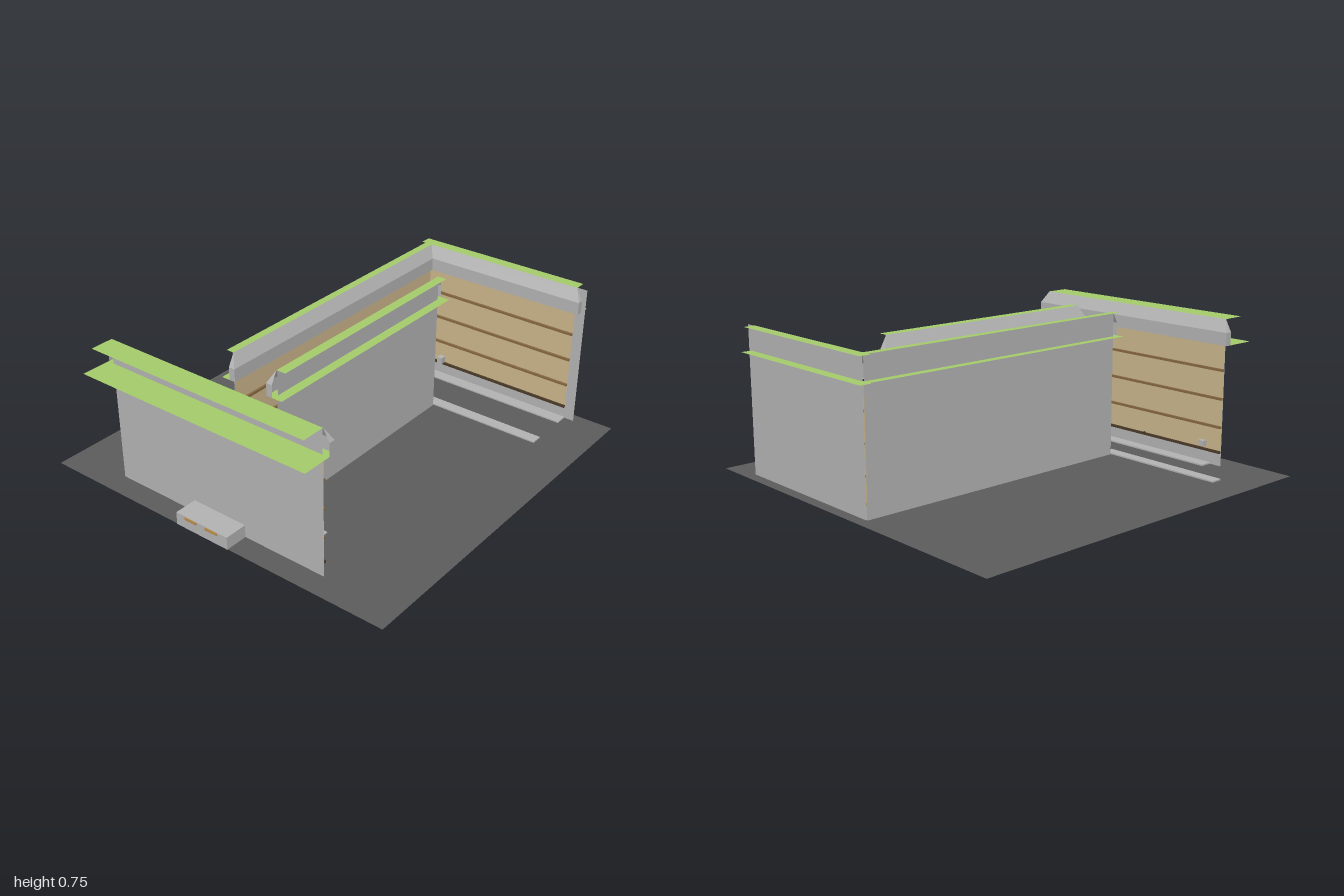
import * as THREE from 'three';

const mat = (name, color, side = THREE.FrontSide) => {
  const m = new THREE.MeshStandardMaterial({ color, side });
  m.name = name;
  return m;
};

export function createModel() {
  const D = THREE.DoubleSide;
  const grey = mat('wall grey', 0xb2b2b2, D);
  const tan = mat('facade tan', 0xcab58b, D);
  const green = mat('ledge green', 0xa3ca6a, D);
  const asphalt = mat('asphalt', 0x5b5b5b, D);
  const brown = mat('trim brown', 0x866840);
  const darkBrown = mat('dark trim', 0x4a3a28);
  const orange = mat('window amber', 0xb98d4c);
  const black = mat('post black', 0x2e2c2a);

  const root = new THREE.Group();
  root.name = 'streetBlock';

  const add = (parent, name, geo, m, x = 0, y = 0, z = 0) => {
    const mesh = new THREE.Mesh(geo, m);
    mesh.name = name;
    mesh.position.set(x, y, z);
    parent.add(mesh);
    return mesh;
  };
  // Box given by its limits on each axis
  const box = (parent, name, m, x0, x1, y0, y1, z0, z1) =>
    add(parent, name, new THREE.BoxGeometry(x1 - x0, y1 - y0, z1 - z0), m,
      (x0 + x1) / 2, (y0 + y1) / 2, (z0 + z1) / 2);
  // Upright sheet facing +z
  const sheet = (parent, name, m, x0, x1, y0, y1, z) =>
    add(parent, name, new THREE.PlaneGeometry(x1 - x0, y1 - y0), m, (x0 + x1) / 2, (y0 + y1) / 2, z);
  // Level sheet facing up
  const level = (parent, name, m, x0, x1, y, z0, z1) => {
    const geo = new THREE.PlaneGeometry(x1 - x0, z1 - z0).rotateX(-Math.PI / 2);
    return add(parent, name, geo, m, (x0 + x1) / 2, y, (z0 + z1) / 2);
  };

  const TOP = 0.745, EAVE = 0.62, BEND = 0.685, OUT = 0.033;

  // Sloped cornice; the lower edge runs past (or short of) each end to form mitres
  function corniceGeometry(x0, x1, e0, e1) {
    const p = [];
    const quad = (a, b, c, d) => p.push(...a, ...b, ...c, ...a, ...c, ...d);
    const l = x0 - e0, r = x1 + e1;
    quad([l, EAVE, OUT], [r, EAVE, OUT], [r, BEND, OUT], [l, BEND, OUT]);
    quad([l, BEND, OUT], [r, BEND, OUT], [x1, TOP, 0], [x0, TOP, 0]);
    if (e0 > 0) {
      quad([l, EAVE, 0], [l, EAVE, OUT], [l, BEND, OUT], [l, BEND, 0]);
      p.push(l, BEND, 0, l, BEND, OUT, x0, TOP, 0);
    }
    if (e1 > 0) {
      quad([r, EAVE, OUT], [r, EAVE, 0], [r, BEND, 0], [r, BEND, OUT]);
      p.push(r, BEND, OUT, r, BEND, 0, x1, TOP, 0);
    }
    const g = new THREE.BufferGeometry();
    g.setAttribute('position', new THREE.Float32BufferAttribute(p, 3));
    g.computeVertexNormals();
    return g;
  }

  // One building front, facing local +z, with a plain grey rear
  function facade({ name, x, z, turn, length, e0 = OUT, e1 = OUT, upper, lower, back0 = 0, back1 = 0 }) {
    const g = new THREE.Group();
    g.name = name;
    g.position.set(x, 0, z);
    g.rotation.y = turn;
    root.add(g);
    const a = -length / 2, b = length / 2;
    sheet(g, 'rearWall', grey, a, b + back1, 0, TOP, -0.004);
    sheet(g, 'plinth', grey, a, b, 0, 0.066, 0);
    sheet(g, 'facadePanel', tan, a, b, 0.066, EAVE, 0);
    [0.072, 0.2, 0.345, 0.49].forEach((y, i) =>
      box(g, 'floorTrim', i ? brown : darkBrown, a, b, y - 0.006, y + 0.006, 0.001, 0.012));
    add(g, 'cornice', corniceGeometry(a, b, e0, e1), grey);
    // Roof ledges; at an inside corner they run on behind to meet
    const upL = e0 < 0 ? upper : 0, upR = e1 < 0 ? upper : 0;
    level(g, 'upperLedge', green, a - upL, b + upR, TOP, -upper, 0);
    level(g, 'lowerLedge', green, a - (e0 < 0 ? lower : e0), b + (e1 < 0 ? lower : e1), EAVE, -lower, 0);
    level(g, 'soffit', green, a - e0, b + e1, EAVE, 0, OUT);
    return g;
  }

  // Ground
  level(root, 'ground', asphalt, -0.985, 0.98, 0, -1, 0.965);

  // Buildings around the street
  facade({ name: 'frontBuilding', x: -0.035, z: 0.845, turn: Math.PI, length: 1.23, upper: 0.12, lower: 0.155 });
  facade({ name: 'rightBuilding', x: 0.125, z: -0.012, turn: -Math.PI / 2, length: 1.23, upper: 0.05, lower: 0.053 });
  facade({ name: 'leftBuilding', x: -0.13, z: -0.17, turn: Math.PI / 2, length: 1.54, e1: -OUT, upper: 0.04, lower: 0.045 });
  facade({ name: 'backBuilding', x: 0.3035, z: -0.94, turn: 0, length: 0.867, e0: -OUT, upper: 0.06, lower: 0.06, back1: 0.053 });

  // Pavements
  const pave = [
    [-0.13, -0.06, -0.94, 0.66], [-0.8, -0.13, 0.6, 0.66], [-0.06, 0.74, -0.94, -0.875],
    [0.055, 0.125, -0.69, 0.66], [0.125, 0.4, 0.6, 0.66], [0.125, 0.74, -0.69, -0.63],
    [-0.59, 0.49, 0.78, 0.845],
  ];
  for (const [x0, x1, z0, z1] of pave) box(root, 'pavement', grey, x0, x1, 0.001, 0.008, z0, z1);

  // Low annex with two small windows
  box(root, 'annex', grey, -0.18, 0.13, 0, 0.065, 0.848, 0.968);
  for (const x of [-0.125, 0]) box(root, 'annexWindow', orange, x, x + 0.07, 0.049, 0.063, 0.966, 0.972);

  // Dashed crossings with end studs
  for (const z of [-0.54, 0.475]) {
    for (let i = 0; i < 7; i++) {
      const x = -0.045 + i * 0.0145;
      box(root, 'crossingDash', grey, x - 0.005, x + 0.005, 0.001, 0.004, z - 0.006, z + 0.006);
    }
    for (const x of [-0.078, 0.077]) box(root, 'crossingStud', black, x - 0.004, x + 0.004, 0.008, 0.014, z - 0.004, z + 0.004);
  }

  // Corner posts
  for (const [x, z] of [[-0.08, 0.645], [0.077, 0.645], [-0.08, -0.895]]) {
    add(root, 'cornerPost', new THREE.CylinderGeometry(0.003, 0.003, 0.08, 8), black, x, 0.04, z);
    box(root, 'postFoot', black, x - 0.007, x + 0.007, 0.008, 0.014, z - 0.007, z + 0.007);
    box(root, 'postCap', black, x - 0.006, x + 0.006, 0.074, 0.083, z - 0.006, z + 0.006);
  }

  // Wall-mounted cabinets
  box(root, 'wallCabinet', grey, -0.56, -0.53, 0.088, 0.118, 0.818, 0.844);
  box(root, 'wallCabinet', grey, -0.04, -0.01, 0.08, 0.115, -0.938, -0.905);
  // Small wall lamps
  for (const [x, y, z] of [[-0.082, 0.09, 0.42], [-0.18, 0.09, 0.805]])
    box(root, 'wallLamp', black, x - 0.004, x + 0.004, y - 0.004, y + 0.004, z - 0.004, z + 0.004);

  return root;
}
